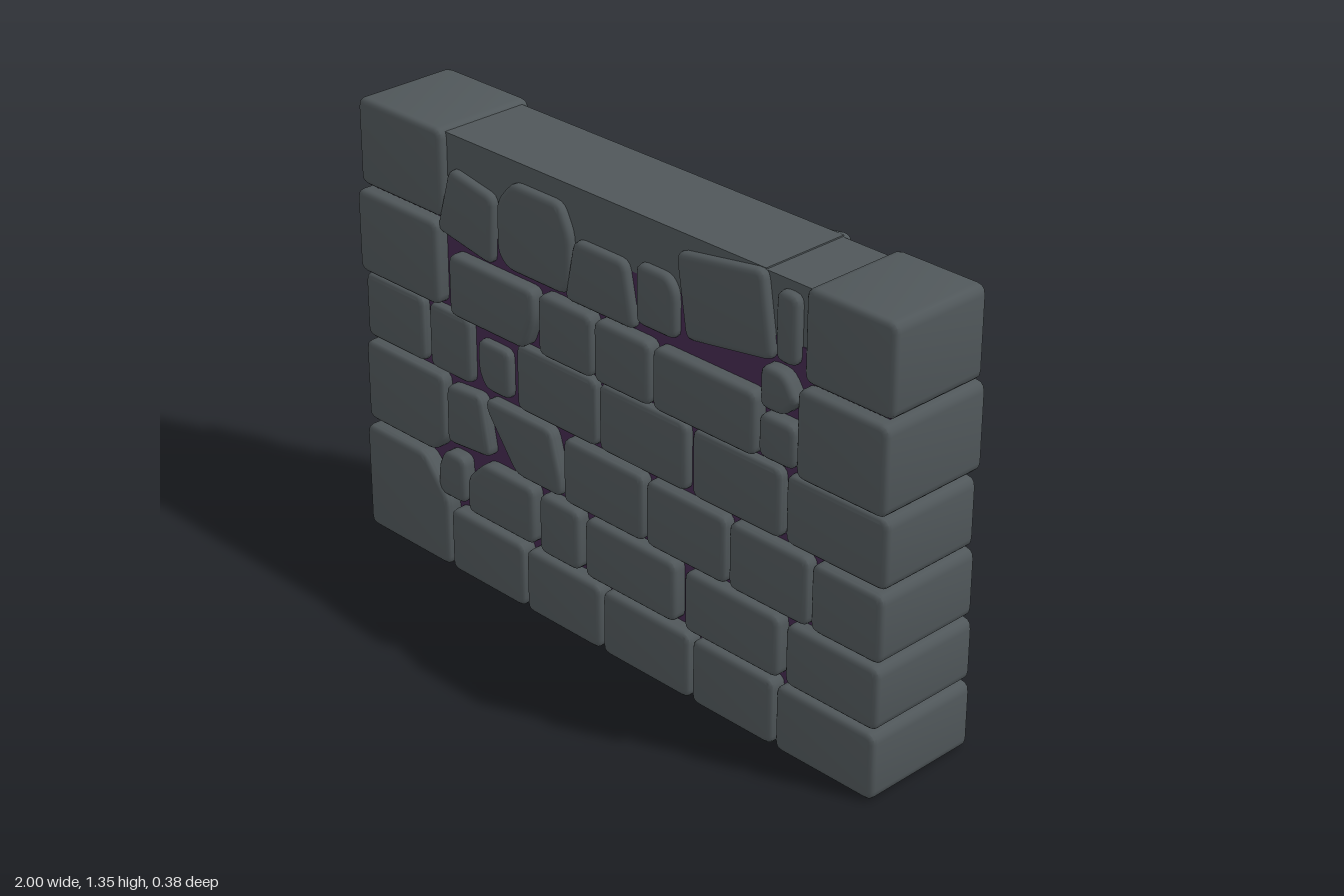
import * as THREE from 'three';
import { toCreasedNormals } from 'three/addons/utils/BufferGeometryUtils.js';

const stoneMat = new THREE.MeshStandardMaterial({ color: 0x50575a });
stoneMat.name = 'slate grey stone';
const mortarMat = new THREE.MeshStandardMaterial({ color: 0x43294f });
mortarMat.name = 'dark purple mortar';

// closed outline with softened corners
function roundedShape(pts, radius) {
  const shape = new THREE.Shape();
  pts.forEach((p, i) => {
    const prev = pts[(i + pts.length - 1) % pts.length];
    const next = pts[(i + 1) % pts.length];
    const cut = (q) => p.clone().lerp(q, Math.min(radius / p.distanceTo(q), 0.4));
    const a = cut(prev), b = cut(next);
    if (i === 0) shape.moveTo(a.x, a.y); else shape.lineTo(a.x, a.y);
    shape.quadraticCurveTo(p.x, p.y, b.x, b.y);
  });
  shape.closePath();
  return shape;
}

// box outline with a narrowed top, a tilt, and corners cut off by [dx, dy]
function outline(x0, x1, y0, y1, { taper = 1, tilt = 0, bl, br, tr, tl }) {
  const cx = (x0 + x1) / 2, half = (x1 - x0) / 2;
  const corner = (sx, x, y, cutOff, alongXFirst) => {
    if (!cutOff) return [new THREE.Vector2(x, y)];
    const sy = y === y0 ? -1 : 1;
    const onX = new THREE.Vector2(x - sx * cutOff[0], y);
    const onY = new THREE.Vector2(x, y - sy * cutOff[1]);
    return alongXFirst ? [onX, onY] : [onY, onX];
  };
  const centre = new THREE.Vector2(cx, (y0 + y1) / 2);
  return [
    ...corner(-1, x0, y0, bl, false),
    ...corner(1, x1, y0, br, true),
    ...corner(1, cx + half * taper, y1, tr, false),
    ...corner(-1, cx - half * taper, y1, tl, true),
  ].map((p) => p.rotateAround(centre, tilt));
}

// one stone running through the whole wall, with bevelled faces front and back
function stone(name, halfDepth, x0, x1, y0, y1, form = {}) {
  const bevel = 0.016;
  const geo = new THREE.ExtrudeGeometry(roundedShape(outline(x0, x1, y0, y1, form), 0.028), {
    depth: 2 * (halfDepth - bevel), curveSegments: 3,
    bevelThickness: bevel, bevelSize: bevel, bevelOffset: -bevel, bevelSegments: 3,
  });
  geo.translate(0, 0, bevel - halfDepth);
  const mesh = new THREE.Mesh(toCreasedNormals(geo, 0.7), stoneMat);
  mesh.name = name;
  return mesh;
}

// squared courses from the ground up: each run lists the joints of touching stones
const courses = [
  { top: 0.205, depth: 0.188, runs: [[-0.637, -0.316, -0.005, 0.341, 0.65, 1]] },
  { top: 0.4, depth: 0.183, runs: [[-0.265, -0.095], [-0.08, 0.28], [0.305, 0.66], [0.675, 1]] },
  { top: 0.61, depth: 0.177, runs: [[-0.17, 0.153, 0.461, 0.753, 1]] },
  { top: 0.822, depth: 0.167, runs: [[-1, -0.742], [-0.73, -0.545], [-0.365, -0.037, 0.305], [0.315, 0.645], [0.65, 1]] },
  { top: 1.085, innerTop: 1.015, depth: 0.183, runs: [[-1, -0.655], [-0.255, -0.038, 0.183, 0.563], [0.695, 1]] },
  { top: 1.355, depth: 0.165, runs: [[-1, -0.645], [0.7, 1]] },
];

// rubble in each course: x0, x1, y0, y1, form
const rubble = [
  [[-1, -0.642, 0, 0.335, { tr: [0.1, 0.115] }]],
  [[-0.69, -0.575, 0.228, 0.375, { tl: [0.03, 0.06] }],
    [-0.563, -0.285, 0.215, 0.395, { tl: [0.07, 0.07] }]],
  [[-1, -0.66, 0.35, 0.605, { br: [0.05, 0.05] }],
    [-0.66, -0.475, 0.41, 0.595, { taper: 0.8, tilt: 0.09 }],
    [-0.48, -0.175, 0.41, 0.606, { bl: [0.12, 0.16], tr: [0.04, 0.14] }]],
  [[-0.52, -0.39, 0.625, 0.775, { bl: [0.03, 0.05] }]],
  [[-0.615, -0.27, 0.818, 1.005, { br: [0.04, 0.1] }],
    [0.57, 0.695, 0.84, 0.965],
    [0.572, 0.695, 0.98, 1.1, { tr: [0.04, 0.06], br: [0.04, 0.05] }]],
  [[-0.665, -0.435, 1.03, 1.235, { taper: 0.8, tilt: -0.17 }],
    [-0.43, -0.14, 1.025, 1.285, { tl: [0.06, 0.07], tr: [0.04, 0.08], br: [0.03, 0.03], bl: [0.04, 0.04] }],
    [-0.165, 0.105, 1.015, 1.2, { taper: 0.72 }],
    [0.108, 0.255, 1.04, 1.215, { tr: [0.03, 0.04] }],
    [0.27, 0.58, 1.08, 1.32, { tilt: 0.16 }],
    [0.605, 0.678, 1.115, 1.31]],
];

function block(name, material, x0, x1, y0, y1, halfDepth) {
  const mesh = new THREE.Mesh(new THREE.BoxGeometry(x1 - x0, y1 - y0, 2 * halfDepth), material);
  mesh.position.set((x0 + x1) / 2, (y0 + y1) / 2, 0);
  mesh.name = name;
  return mesh;
}

export function createModel() {
  const wall = new THREE.Group();
  wall.name = 'stoneWall';

  const gap = 0.005;
  let bottom = 0;
  courses.forEach(({ top, innerTop = top, depth, runs }, i) => {
    const course = new THREE.Group();
    course.name = `course${i + 1}`;
    const y0 = i === 0 ? 0 : bottom + gap;
    for (const run of runs) {
      for (let k = 0; k + 1 < run.length; k++) {
        const [a, b] = [run[k], run[k + 1]];
        const isEnd = a === -1 || b === 1;
        course.add(stone(isEnd ? 'endStone' : 'squaredStone', depth,
          a === -1 ? a : a + gap, b === 1 ? b : b - gap, y0, (isEnd ? top : innerTop) - gap));
      }
    }
    for (const spec of rubble[i]) course.add(stone('rubbleStone', depth, ...spec));
    wall.add(course);
    bottom = top;
  });

  // mortar core between the stones, capped by plain blocks on top
  wall.add(block('mortarCore', mortarMat, -0.97, 0.97, 0.015, 1.17, 0.14));
  wall.add(block('capBlock', stoneMat, -0.68, 0.55, 1.17, 1.34, 0.14));
  wall.add(block('capEndBlock', stoneMat, 0.55, 0.73, 1.17, 1.335, 0.138));
  return wall;
}
